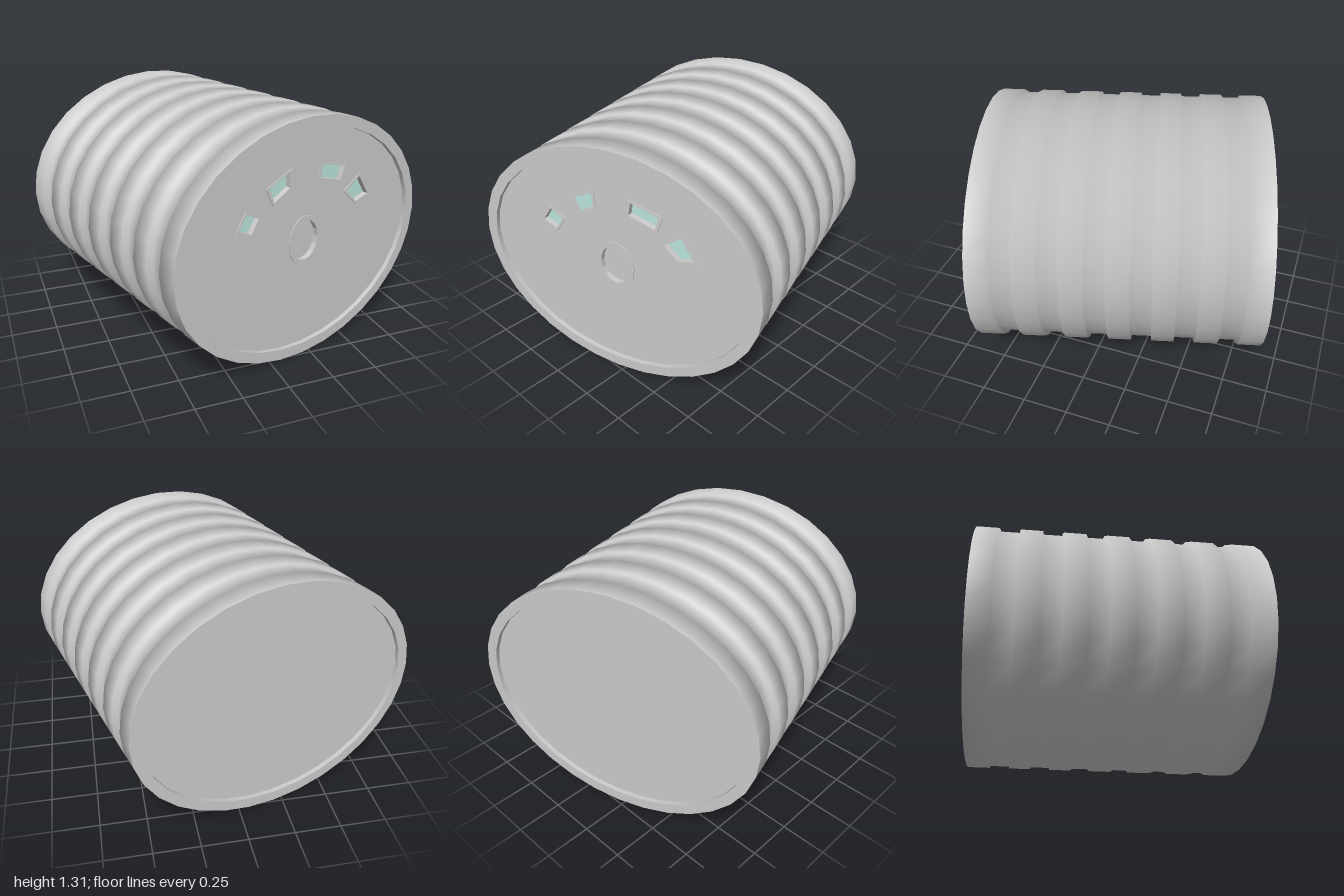
import * as THREE from 'three';

const SEG = 32, HALF = 0.765, RIBS = 7, RIB_W = 0.122;
const PITCH = (2 * HALF - RIB_W) / (RIBS - 1);
const RX = 0.82, RY = 0.655;            // rib half width and half height
const NX = 0.785, NY = 0.647;           // groove half width and half height
const IX = 0.762, IY = 0.596;           // inner edge of the end rims
const RECESS = 0.025;

const grey = new THREE.MeshStandardMaterial({ color: 0xcccccc });
const greyDouble = new THREE.MeshStandardMaterial({ color: 0xcccccc, side: THREE.DoubleSide });
const glass = new THREE.MeshStandardMaterial({ color: 0xbde6df });

function add(parent, name, geometry, material, z = 0) {
  const mesh = new THREE.Mesh(geometry, material);
  mesh.name = name;
  mesh.position.z = z;
  parent.add(mesh);
  return mesh;
}

const ellipse = (rx, ry, Type = THREE.Shape) => new Type().absellipse(0, 0, rx, ry, 0, Math.PI * 2, false, 0);

// Polygon scaled about its own centre
function polygon(points, scale = 1) {
  const c = points.reduce((s, p) => s.add(p), new THREE.Vector2()).divideScalar(points.length);
  return points.map(p => p.clone().sub(c).multiplyScalar(scale).add(c));
}

// Ribbed oval wall: a lathe whose rib and groove rings become two different ellipses
function ribbedWall() {
  const pts = [new THREE.Vector2(0.999, -HALF)];
  for (let i = 0; i < RIBS; i++) {
    const z = -HALF + i * PITCH;
    pts.push(new THREE.Vector2(1, z), new THREE.Vector2(1, z + RIB_W));
    if (i < RIBS - 1) pts.push(new THREE.Vector2(0.9, z + RIB_W), new THREE.Vector2(0.9, z + PITCH));
  }
  pts.push(new THREE.Vector2(0.999, HALF));
  const geo = new THREE.LatheGeometry(pts, SEG).rotateX(Math.PI / 2);
  const pos = geo.attributes.position, nor = geo.attributes.normal;
  const n = new THREE.Vector3();
  for (let i = 0; i < pos.count; i++) {
    const x = pos.getX(i), y = pos.getY(i), r = Math.hypot(x, y);
    const rib = r > 0.95;
    pos.setXY(i, x / r * (rib ? RX : NX), y / r * (rib ? RY : NY));
    n.fromBufferAttribute(nor, i);
    n.set(n.x / RX, n.y / RY, n.z / 0.73).normalize();
    nor.setXYZ(i, n.x, n.y, n.z);
  }
  return geo;
}

// Flat end rim and the short wall down to the recessed plate
function endRim(name) {
  const g = new THREE.Group();
  g.name = name;
  const ring = ellipse(RX, RY);
  ring.holes.push(ellipse(IX, IY, THREE.Path));
  add(g, 'rimFace', new THREE.ShapeGeometry(ring, SEG / 2), grey, HALF);
  const wall = new THREE.CylinderGeometry(1, 1, RECESS, SEG, 1, true).rotateX(Math.PI / 2).scale(IX, IY, 1);
  add(g, 'rimInnerWall', wall, greyDouble, HALF - RECESS / 2);
  return g;
}

export function createModel() {
  const model = new THREE.Group();
  model.name = 'ribbedDrum';
  const drum = new THREE.Group();
  drum.name = 'drum';
  drum.position.y = RY;
  drum.rotation.y = 0.277;
  model.add(drum);

  add(drum, 'ribbedWall', ribbedWall(), grey);

  // End rims, the back one turned around
  const backEnd = endRim('backRim');
  add(backEnd, 'backPlate', new THREE.ShapeGeometry(ellipse(IX, IY), SEG / 2), grey, HALF - RECESS);
  backEnd.rotation.y = Math.PI;
  drum.add(endRim('frontRim'), backEnd);

  // Window corners and the central oval, on the front plate
  const windows = [
    [-0.45, 0.15, -0.355, 0.105, -0.295, 0.195, -0.39, 0.245],
    [-0.225, 0.235, -0.1, 0.305, -0.11, 0.405, -0.27, 0.33],
    [0.07, 0.315, 0.253, 0.265, 0.282, 0.355, 0.086, 0.405],
    [0.265, 0.21, 0.36, 0.12, 0.47, 0.152, 0.38, 0.29],
  ].map(c => [0, 2, 4, 6].map(i => new THREE.Vector2(c[i], c[i + 1])));
  const oval = [];
  for (let i = 0; i < 16; i++) {
    const a = i / 16 * Math.PI * 2;
    oval.push(new THREE.Vector2(0.11 * Math.cos(a), 0.137 * Math.sin(a)));
  }
  const openings = [...windows, oval];

  // Front plate with its openings
  const plate = ellipse(IX, IY);
  openings.forEach(o => plate.holes.push(new THREE.Path(polygon(o, 0.9))));
  const depth = 0.04, face = HALF - RECESS;
  add(drum, 'frontPlate', new THREE.ExtrudeGeometry(plate, { depth, bevelEnabled: false, curveSegments: SEG / 2 }),
    grey, face - depth);

  // Thin frame and sunken pane for every opening
  openings.forEach((o, i) => {
    const isOval = o === oval;
    const name = isOval ? 'centre' : `window${i + 1}`;
    const frame = new THREE.Shape(o);
    frame.holes.push(new THREE.Path(polygon(o, 0.8)));
    add(drum, name + 'Frame', new THREE.ExtrudeGeometry(frame, { depth: 0.032, bevelEnabled: false }), grey, face - 0.027);
    add(drum, name + 'Pane', new THREE.ShapeGeometry(new THREE.Shape(polygon(o, 0.95))), isOval ? grey : glass, face - 0.026);
  });

  return model;
}
